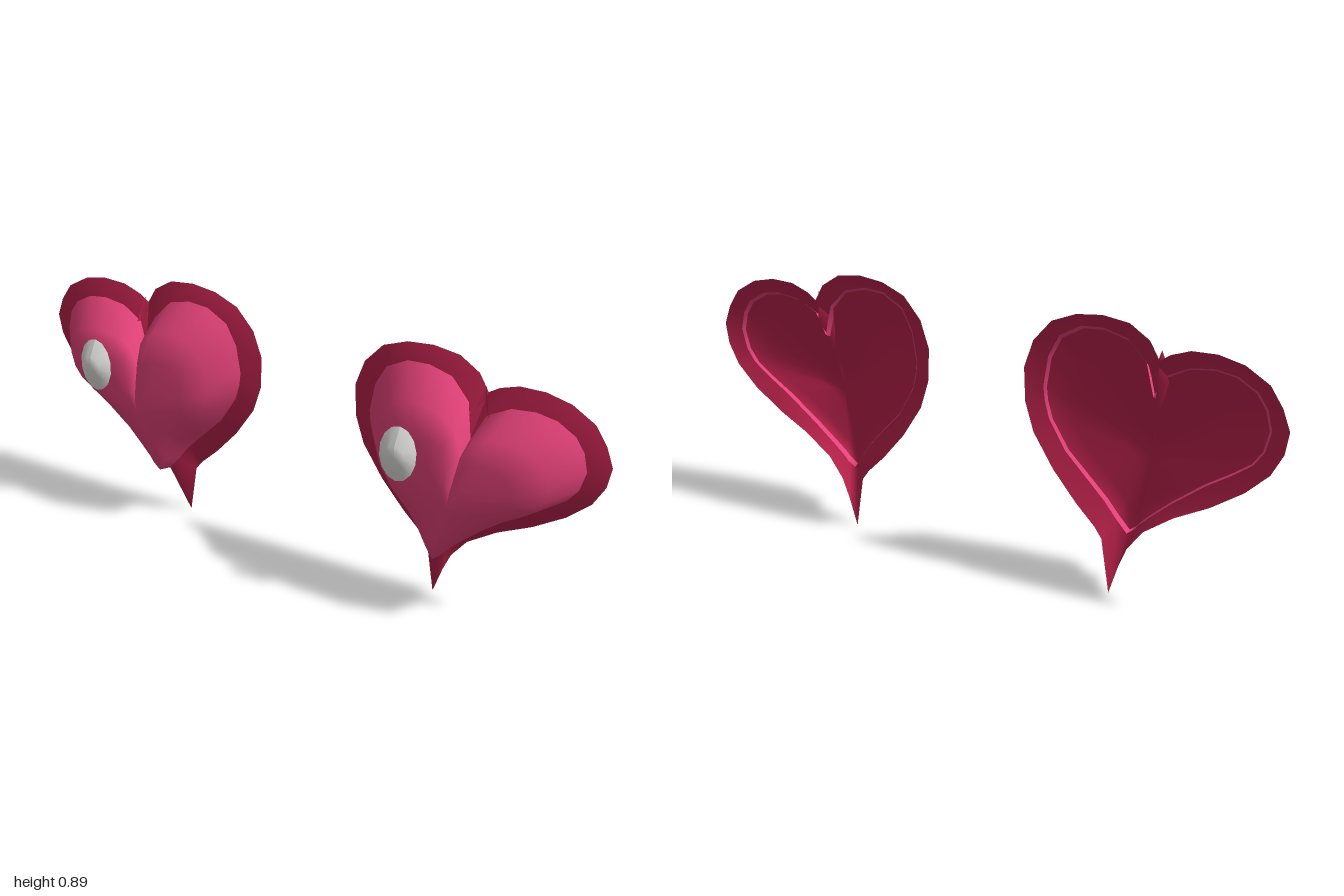
import * as THREE from 'three';

const mat = (name, color) => new THREE.MeshStandardMaterial({ name, color, side: THREE.DoubleSide });

// Heart outlines, counter-clockwise from the notch round to the notch again
const RIM = [
  .607, .785, .575, .84, .51, .882, .425, .893, .34, .883, .26, .85, .20, .78, .17, .69, .175, .58,
  .205, .485, .275, .375, .355, .28, .42, .215, .445, .18, .475, 0, .505, .10, .53, .165, .58, .235,
  .675, .305, .785, .365, .885, .435, .955, .505, .99, .575, 1, .645, .975, .71, .935, .77,
  .86, .815, .78, .833, .70, .83, .64, .808, .607, .785];
const DOME = [
  .585, .66, .56, .76, .50, .82, .425, .84, .355, .835, .285, .795, .25, .725, .235, .63, .24, .585,
  .255, .53, .31, .435, .39, .35, .44, .295, .475, .245, .51, .20, .535, .22, .55, .24, .585, .275,
  .65, .335, .755, .42, .83, .47, .89, .515, .92, .56, .935, .625, .92, .685, .89, .73,
  .83, .765, .765, .775, .69, .765, .62, .73, .585, .66];
const CENTRE = [.565, .45];

const pairs = (a) => Array.from({ length: a.length / 2 }, (_, i) => [a[2 * i], a[2 * i + 1]]);

// Joins rings of equal length; the seam at the notch stays a sharp crease
function loft(rings, side, cap) {
  const n = rings[0].length, pos = [], idx = [];
  for (const ring of rings) {
    const r = side > 0 ? ring : [...ring].reverse();
    for (const [x, y, z] of r) pos.push(side * x, y, z);
  }
  for (let k = 0; k < rings.length - 1; k++) {
    for (let i = 0; i < n - 1; i++) {
      const a = k * n + i, b = a + 1, c = a + n, d = b + n;
      idx.push(a, b, d, a, d, c);
    }
  }
  if (cap) {
    const last = (rings.length - 1) * n;
    pos.push(side * cap[0], cap[1], cap[2]);
    for (let i = 0; i < n - 1; i++) idx.push(last + i, last + i + 1, rings.length * n);
  }
  const g = new THREE.BufferGeometry();
  g.setAttribute('position', new THREE.Float32BufferAttribute(pos, 3));
  g.setIndex(idx);
  g.computeVertexNormals();
  return g;
}

// Dome outline scaled about the heart's centre; z follows the outline point,
// and the lower tip can be stretched outwards
const ringAt = (s, z, tip = 0) => pairs(DOME).map(([x, y], i, all) => {
  const k = s + tip * Math.max(0, (.35 - y) / .15);
  const fromNotch = Math.min(i, all.length - 1 - i);
  return [CENTRE[0] + (x - CENTRE[0]) * k, CENTRE[1] + (y - CENTRE[1]) * k, z(y, fromNotch)];
});
const flat = (z) => () => z;
const edgeZ = (y) => -.065 + .04 * ((.84 - y) / .64) ** 3;
// The back stays shallow behind the notch instead of following the valley
const shellZ = (y, i) => edgeZ(y) + [.026, .006][i] * 1 || edgeZ(y);
const skirtZ = (y) => edgeZ(y) - .008 - .012 * Math.max(0, (.6 - y) / .4);

export function createModel() {
  const red = mat('darkRed', 0xbb224c);
  const pink = mat('pink', 0xe7437b);
  const white = mat('white', 0xe6e6e4);
  const model = new THREE.Group();
  model.name = 'hearts';

  const add = (group, name, geometry, material) => {
    const m = new THREE.Mesh(geometry, material);
    m.name = name;
    group.add(m);
  };

  for (const side of [1, -1]) {
    const heart = new THREE.Group();
    heart.name = side > 0 ? 'leftHeart' : 'rightHeart';
    model.add(heart);

    // Sloping border running on into a shallow hollow back
    const rim = pairs(RIM).map(([x, y]) => [x, y, -.09]);
    add(heart, 'backShell', loft([
      rim, ringAt(1, shellZ), ringAt(.76, (y, i) => shellZ(y, i) * .72),
      ringAt(.25, flat(-.012))], side, [...CENTRE, -.005]), red);

    // Raised front, its edge just piercing the border
    add(heart, 'dome', loft([
      ringAt(1.025, skirtZ), ringAt(1, edgeZ),
      ringAt(.79, flat(.03), .13), ringAt(.52, flat(.051), .06),
      ringAt(.25, flat(.07))], side, [...CENTRE, .07]), pink);

    // Pointed fold behind the notch
    add(heart, 'notchFold', loft([[
      [.606, .812, -.072], [.565, .71, -.045], [.583, .59, -.03],
      [.632, .71, -.045], [.606, .812, -.072]]], side, [.6, .72, -.088]), red);

    // Oval highlight with a bevelled edge, tilted back at the top
    const cx = side > 0 ? .395 : -.727, n = 14;
    const oval = (rx, ry, z, tilt) => Array.from({ length: n + 1 }, (_, i) => {
      const t = Math.PI / 2 + i / n * Math.PI * 2;
      return [cx + rx * Math.cos(t), .588 + ry * Math.sin(t), z - tilt * Math.sin(t)];
    });
    add(heart, 'highlight',
      loft([oval(.062, .092, .063, .008), oval(.034, .04, .09, 0)], 1, [cx, .588, .09]), white);
  }
  return model;
}
